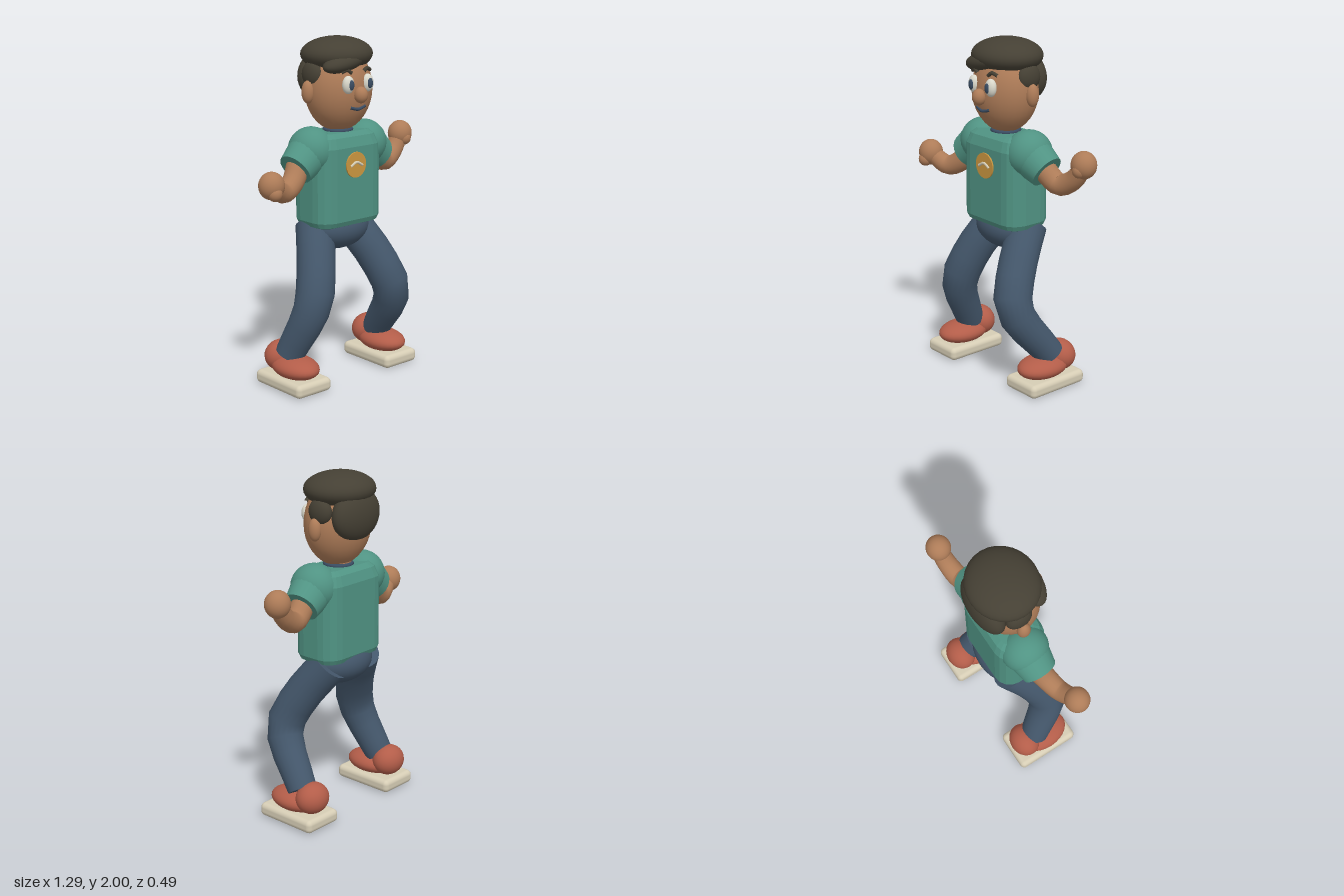
import * as THREE from 'three';
import { RoundedBoxGeometry } from 'three/addons/geometries/RoundedBoxGeometry.js';

const paint = (name, color) => {
  const m = new THREE.MeshStandardMaterial({ color });
  m.name = name;
  return m;
};
const V = (p) => new THREE.Vector3(...p);

export function createModel() {
  const root = new THREE.Group();
  root.name = 'standingFigure';

  const skin = paint('skin', 0xae7c58);
  const shirt = paint('shirt green', 0x509383);
  const denim = paint('denim blue', 0x43566a);
  const hair = paint('hair brown', 0x454034);
  const shoeRed = paint('shoe red', 0xb35d49);
  const cream = paint('sole cream', 0xd6cdb5);
  const white = paint('eye white', 0xdad8cb);
  const navy = paint('navy', 0x3a4c62);
  const gold = paint('badge gold', 0xcb9740);

  const add = (name, geometry, material, position = [0, 0, 0], parent = root) => {
    const mesh = new THREE.Mesh(geometry, material);
    mesh.name = name;
    mesh.position.set(...position);
    parent.add(mesh);
    return mesh;
  };

  // Ellipsoid from centre and three radii
  const ball = (name, material, centre, radii, parent = root) => {
    const g = new THREE.SphereGeometry(1, 28, 18);
    g.scale(...radii);
    return add(name, g, material, centre, parent);
  };

  // Capped tube through points, tapering linearly between the given radii
  const limb = (name, material, points, radii, steps, sides = 20) => {
    const group = new THREE.Group();
    group.name = name;
    root.add(group);
    const curve = new THREE.CatmullRomCurve3(points.map(V));
    const radiusAt = (t) => {
      const s = t * (radii.length - 1);
      const i = Math.min(Math.floor(s), radii.length - 2);
      return THREE.MathUtils.lerp(radii[i], radii[i + 1], s - i);
    };
    const g = new THREE.TubeGeometry(curve, steps, 1, sides);
    const pos = g.attributes.position;
    const v = new THREE.Vector3();
    for (let i = 0; i <= steps; i++) {
      const c = curve.getPointAt(i / steps);
      for (let j = 0; j <= sides; j++) {
        const k = i * (sides + 1) + j;
        v.fromBufferAttribute(pos, k).sub(c).multiplyScalar(radiusAt(i / steps)).add(c);
        pos.setXYZ(k, v.x, v.y, v.z);
      }
    }
    add(name + 'Surface', g, material, [0, 0, 0], group);
    for (const t of [0, 1]) {
      const c = curve.getPointAt(t);
      const cap = add(name + 'End', new THREE.CircleGeometry(radiusAt(t), sides), material, c.toArray(), group);
      const out = curve.getTangentAt(t).multiplyScalar(t ? 1 : -1);
      cap.quaternion.setFromUnitVectors(new THREE.Vector3(0, 0, 1), out);
    }
  };

  // Torso: rounded rectangle extruded upward, faceted edges, sloping shoulders
  const hw = 0.238, hd = 0.154, r = 0.1;
  const outline = new THREE.Shape();
  outline.absarc(hw - r, hd - r, r, 0, Math.PI / 2);
  outline.absarc(-hw + r, hd - r, r, Math.PI / 2, Math.PI);
  outline.absarc(-hw + r, -hd + r, r, Math.PI, Math.PI * 1.5);
  outline.absarc(hw - r, -hd + r, r, Math.PI * 1.5, Math.PI * 2);
  const torso = new THREE.ExtrudeGeometry(outline, {
    depth: 0.425, curveSegments: 2, bevelSegments: 2,
    bevelThickness: 0.04, bevelSize: 0.045, bevelOffset: -0.045,
  });
  torso.rotateX(-Math.PI / 2).translate(0, 0.96, 0);
  const tp = torso.attributes.position;
  for (let i = 0; i < tp.count; i++) {
    const rise = Math.max(0, tp.getY(i) - 1.385);
    const s = 1 - 2 * rise;
    tp.setXYZ(i, tp.getX(i) * s, tp.getY(i) + rise, tp.getZ(i) * s);
  }
  torso.computeVertexNormals();
  add('shirtBody', torso, shirt, [0, 0, -0.037]);

  // Neck and collar
  add('neck', new THREE.CylinderGeometry(0.075, 0.075, 0.14, 24), skin, [0, 1.46, -0.035]);
  const collar = new THREE.TorusGeometry(0.076, 0.013, 10, 28);
  collar.rotateX(Math.PI / 2);
  add('collar', collar, navy, [0, 1.468, -0.035]);

  // Chest badge with a curved stripe
  const disc = new THREE.CylinderGeometry(0.074, 0.074, 0.009, 32);
  disc.rotateX(Math.PI / 2);
  add('badge', disc, gold, [0, 1.283, 0.121]);
  const stroke = (name, material, points, radius) =>
    add(name, new THREE.TubeGeometry(new THREE.CatmullRomCurve3(points.map(V)), 12, radius, 8), material);
  stroke('badgeStripe', cream, [[-0.045, 1.277, 0.126], [0, 1.298, 0.126], [0.045, 1.277, 0.126]], 0.008);

  // Head
  ball('head', skin, [0, 1.705, -0.03], [0.205, 0.245, 0.18]);
  ball('nose', skin, [0, 1.686, 0.16], [0.04, 0.047, 0.04]);
  stroke('mouth', navy, [[-0.055, 1.616, 0.13], [0, 1.603, 0.138], [0.057, 1.616, 0.13]], 0.009);
  for (const [side, s] of [['left', 1], ['right', -1]]) {
    ball(side + 'Ear', skin, [s * 0.21, 1.7, -0.05], [0.035, 0.065, 0.038]);
    ball(side + 'Eye', white, [s * 0.073, 1.746, 0.135], [0.037, 0.051, 0.03]);
    ball(side + 'Pupil', navy, [s * 0.07, 1.746, 0.16], [0.018, 0.029, 0.012]);
    ball(side + 'SideHair', hair, [s * 0.17, 1.795, -0.055], [0.047, 0.075, 0.077]);
    stroke(side + 'Brow', hair,
      [[s * 0.045, 1.81, 0.131], [s * 0.074, 1.828, 0.127], [s * 0.108, 1.815, 0.115]], 0.011);
  }

  // Hair: cap, swept fringe and back
  ball('hairCap', hair, [0, 1.9, -0.045], [0.213, 0.1, 0.197]);
  const fringe = ball('fringe', hair, [-0.048, 1.868, 0.075], [0.148, 0.055, 0.078]);
  fringe.rotation.z = 0.2;
  ball('backHair', hair, [0, 1.77, -0.165], [0.178, 0.15, 0.085]);

  // Arms: shoulder, sleeve, bent forearm, hand and thumb
  const arms = [
    {
      side: 'left', shoulder: [0.2, 1.37, -0.035], cuff: [0.33, 1.285, -0.055],
      path: [[0.3, 1.305, -0.05], [0.405, 1.225, -0.08], [0.5, 1.27, -0.1], [0.567, 1.362, -0.11]],
      hand: [0.568, 1.367, -0.11], thumb: [0.57, 1.342, -0.075],
    },
    {
      side: 'right', shoulder: [-0.2, 1.37, -0.035], cuff: [-0.33, 1.278, -0.02],
      path: [[-0.3, 1.3, -0.03], [-0.365, 1.215, 0], [-0.455, 1.172, 0.03], [-0.567, 1.232, 0.07]],
      hand: [-0.572, 1.236, 0.07], thumb: [-0.578, 1.198, 0.107],
    },
  ];
  for (const a of arms) {
    ball(a.side + 'Shoulder', shirt, a.shoulder, [0.132, 0.135, 0.138]);
    limb(a.side + 'Sleeve', shirt, [a.shoulder, a.cuff], [0.13, 0.102], 4, 24);
    limb(a.side + 'Arm', skin, a.path, [0.068, 0.06, 0.05], 12);
    ball(a.side + 'Hand', skin, a.hand, [0.074, 0.078, 0.072]);
    ball(a.side + 'Thumb', skin, a.thumb, [0.041, 0.043, 0.042]);
  }

  // Trousers
  ball('hips', denim, [0, 0.895, -0.05], [0.215, 0.13, 0.16]);
  limb('leftLeg', denim,
    [[0.13, 0.91, -0.09], [0.205, 0.72, 0.05], [0.275, 0.5, 0.135], [0.35, 0.19, -0.075]],
    [0.112, 0.112, 0.085], 8);
  limb('rightLeg', denim,
    [[-0.13, 0.91, -0.09], [-0.215, 0.72, 0.02], [-0.29, 0.5, 0.08], [-0.36, 0.19, -0.05]],
    [0.112, 0.112, 0.085], 8);

  // Shoes
  for (const [side, x, z] of [['left', 0.348, -0.042], ['right', -0.36, -0.017]]) {
    const shoe = new THREE.Group();
    shoe.name = side + 'Shoe';
    shoe.position.set(x, 0, z);
    root.add(shoe);
    add('sole', new RoundedBoxGeometry(0.254, 0.08, 0.402, 3, 0.03), cream, [0, 0.04, 0], shoe);
    ball('toe', shoeRed, [0, 0.125, 0.02], [0.118, 0.066, 0.166], shoe);
    ball('heel', shoeRed, [0, 0.165, -0.108], [0.105, 0.092, 0.09], shoe);
  }

  return root;
}
